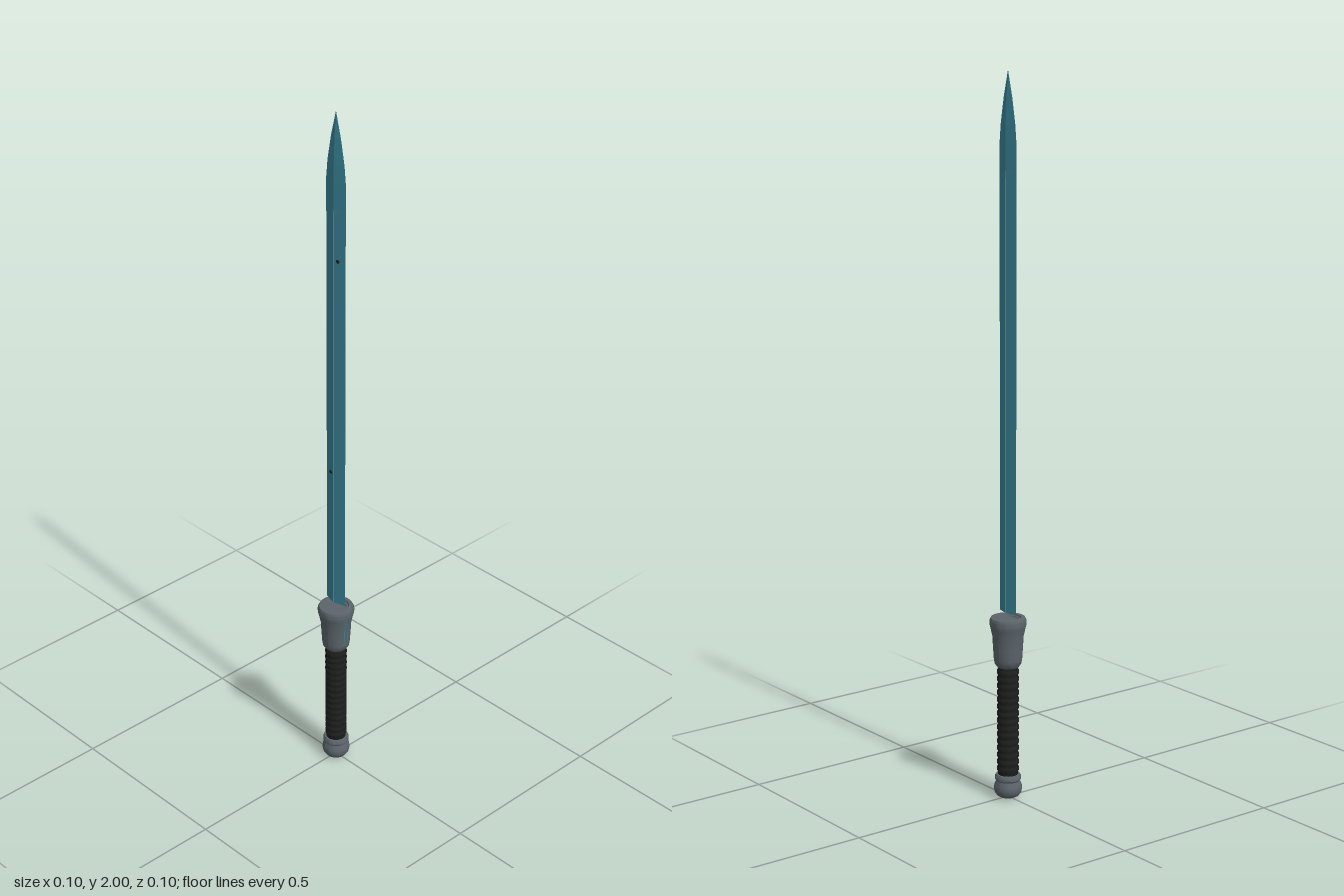
import * as THREE from 'three';
import { toCreasedNormals } from 'three/addons/utils/BufferGeometryUtils.js';

const material = (name, color, side = THREE.FrontSide) => {
  const m = new THREE.MeshStandardMaterial({ color, side });
  m.name = name;
  return m;
};

function turned(name, profile, mat, segments = 40) {
  const points = profile.map(([r, y]) => new THREE.Vector2(r, y));
  const geometry = toCreasedNormals(new THREE.LatheGeometry(points, segments), 0.6);
  const mesh = new THREE.Mesh(geometry, mat);
  mesh.name = name;
  return mesh;
}

// One half of the blade: triangular cross-sections [y, half width, slit, half thickness]
function bladeHalf(side, rows) {
  const positions = [];
  const rings = rows.map(([y, w, g, t]) => {
    const ring = [[side * g, y, t], [side * w, y, 0], [side * g, y, -t]];
    return side > 0 ? ring : ring.reverse();
  });
  const tri = (...corners) => corners.forEach((c) => positions.push(...c));
  for (let k = 0; k < rings.length - 1; k++) {
    const [low, high] = [rings[k], rings[k + 1]];
    for (let i = 0; i < 3; i++) {
      const j = (i + 1) % 3;
      tri(low[i], low[j], high[j]);
      tri(low[i], high[j], high[i]);
    }
  }
  tri(rings[0][0], rings[0][2], rings[0][1]);
  const geometry = new THREE.BufferGeometry();
  geometry.setAttribute('position', new THREE.Float32BufferAttribute(positions, 3));
  geometry.computeVertexNormals();
  return geometry;
}

export function createModel() {
  const model = new THREE.Group();
  model.name = 'sword';
  const teal = material('blade teal', 0x3a8499);
  const tealLine = material('inlay teal', 0x3a8499, THREE.DoubleSide);
  const steel = material('gunmetal', 0x5c656b);
  const black = material('grip black', 0x1f1f20);

  // Blade with a narrow central slit and a pointed tip
  const blade = new THREE.Group();
  blade.name = 'blade';
  const rows = [
    [0.532, 0.036, 0.002, 0.009], [1.72, 0.036, 0.002, 0.009], [1.74, 0.036, 0, 0.009],
    [1.81, 0.036, 0, 0.009], [1.86, 0.031, 0, 0.008], [1.93, 0.018, 0, 0.005], [2.0, 0, 0, 0],
  ];
  for (const side of [1, -1]) {
    const half = new THREE.Mesh(bladeHalf(side, rows), teal);
    half.name = side > 0 ? 'bladeLeft' : 'bladeRight';
    blade.add(half);
  }
  // Small dark pits on the front faces
  for (const [x, y] of [[0.013, 1.59], [-0.013, 0.95]]) {
    const pit = new THREE.Mesh(new THREE.CylinderGeometry(0.005, 0.005, 0.003, 12), black);
    pit.name = 'pit';
    pit.rotation.x = Math.PI / 2;
    pit.position.set(x, y, 0.0058);
    blade.add(pit);
  }
  model.add(blade);

  // Flared guard with a shallow socket on top
  const flare = [
    [0.033, 0.382], [0.037, 0.388], [0.039, 0.4], [0.041, 0.43], [0.043, 0.465],
    [0.048, 0.488], [0.051, 0.5], [0.051, 0.51],
  ];
  model.add(turned('guard', [
    [0, 0.378], [0.03, 0.378], ...flare, [0.047, 0.518], [0.036, 0.519],
    [0.034, 0.514], [0.029, 0.514], [0.028, 0.511], [0, 0.511],
  ], steel));

  // Thin inlaid lines on the left side of the guard
  for (const offset of [-0.16, 0.16]) {
    const points = flare.slice(2, 7).map(([r, y]) => new THREE.Vector2(r + 0.0006, y));
    const line = new THREE.Mesh(
      new THREE.LatheGeometry(points, 2, Math.PI / 2 + offset - 0.03, 0.06), tealLine);
    line.name = 'guardInlay';
    model.add(line);
  }

  // Ribbed grip
  const ribs = 15;
  const grip = [[0.028, 0.065]];
  for (let i = 0; i < ribs; i++) {
    const y = 0.075 + i * 0.02;
    grip.push([0.028, y], [0.0305, y + 0.004], [0.0305, y + 0.012], [0.028, y + 0.016]);
  }
  grip.push([0.028, 0.38]);
  model.add(turned('grip', grip, black, 32));

  // Rounded pommel with a grooved collar
  model.add(turned('pommel', [
    [0, 0], [0.022, 0.001], [0.031, 0.006], [0.037, 0.015], [0.039, 0.026], [0.038, 0.036],
    [0.034, 0.045], [0.033, 0.049], [0.036, 0.053], [0.036, 0.062], [0.033, 0.067], [0, 0.068],
  ], steel));

  return model;
}
